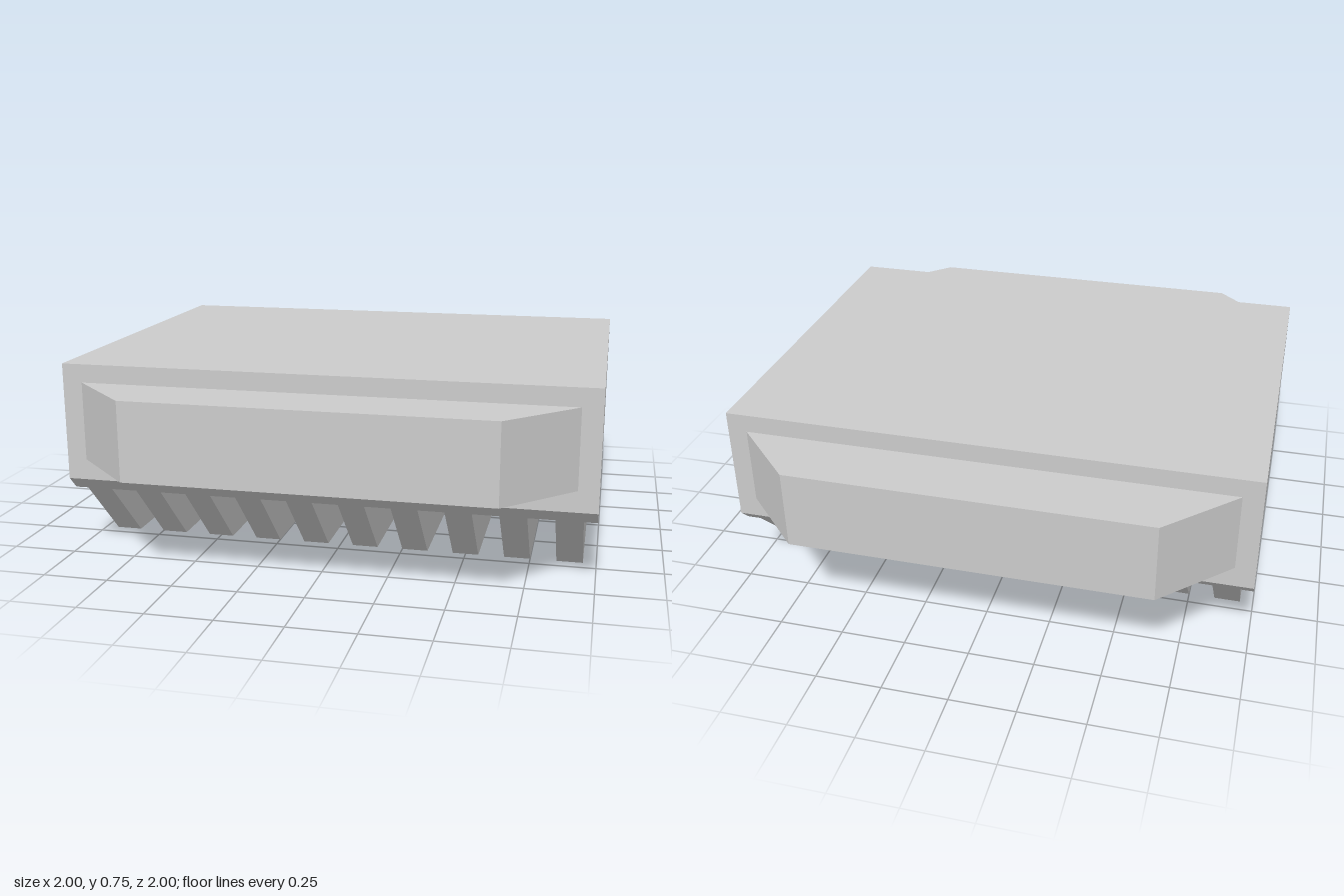
import * as THREE from 'three';

const material = new THREE.MeshStandardMaterial({ color: 0xcccccc, flatShading: true });

// Straight extrusion of a closed outline
function prism(points, depth) {
  const shape = new THREE.Shape(points.map(([x, y]) => new THREE.Vector2(x, y)));
  return new THREE.ExtrudeGeometry(shape, { depth, bevelEnabled: false });
}

// Side profile (z, y) extruded across x and centred
function crossPrism(points, width) {
  return prism(points, width).translate(0, 0, -width / 2).rotateY(-Math.PI / 2);
}

function addMesh(parent, name, geometry) {
  const mesh = new THREE.Mesh(geometry, material);
  mesh.name = name;
  parent.add(mesh);
  return mesh;
}

export function createModel() {
  const model = new THREE.Group();
  model.name = 'finnedBlock';

  // Main block with chamfered lower edges
  addMesh(model, 'body', crossPrism(
    [[-0.7, 0.25], [0.7, 0.25], [0.75, 0.3], [0.75, 0.75], [-0.75, 0.75], [-0.75, 0.3]], 2));

  // Row of tapered fins continuing the chamfer down to the base
  const finGeometry = crossPrism([[-0.45, 0], [0.45, 0], [0.7, 0.25], [-0.7, 0.25]], 0.1);
  const fins = new THREE.Group();
  fins.name = 'fins';
  for (let i = 0; i < 10; i++) {
    addMesh(fins, 'fin', finGeometry).position.x = -0.9 + i * 0.2;
  }
  model.add(fins);

  // Trapezoid ledges on the front and back
  const ledgeGeometry = prism([[-0.925, 0.75], [0.925, 0.75], [0.675, 1], [-0.675, 1]], 0.3)
    .rotateX(Math.PI / 2).translate(0, 0.68, 0);
  addMesh(model, 'frontLedge', ledgeGeometry);
  addMesh(model, 'backLedge', ledgeGeometry).rotation.y = Math.PI;

  return model;
}
